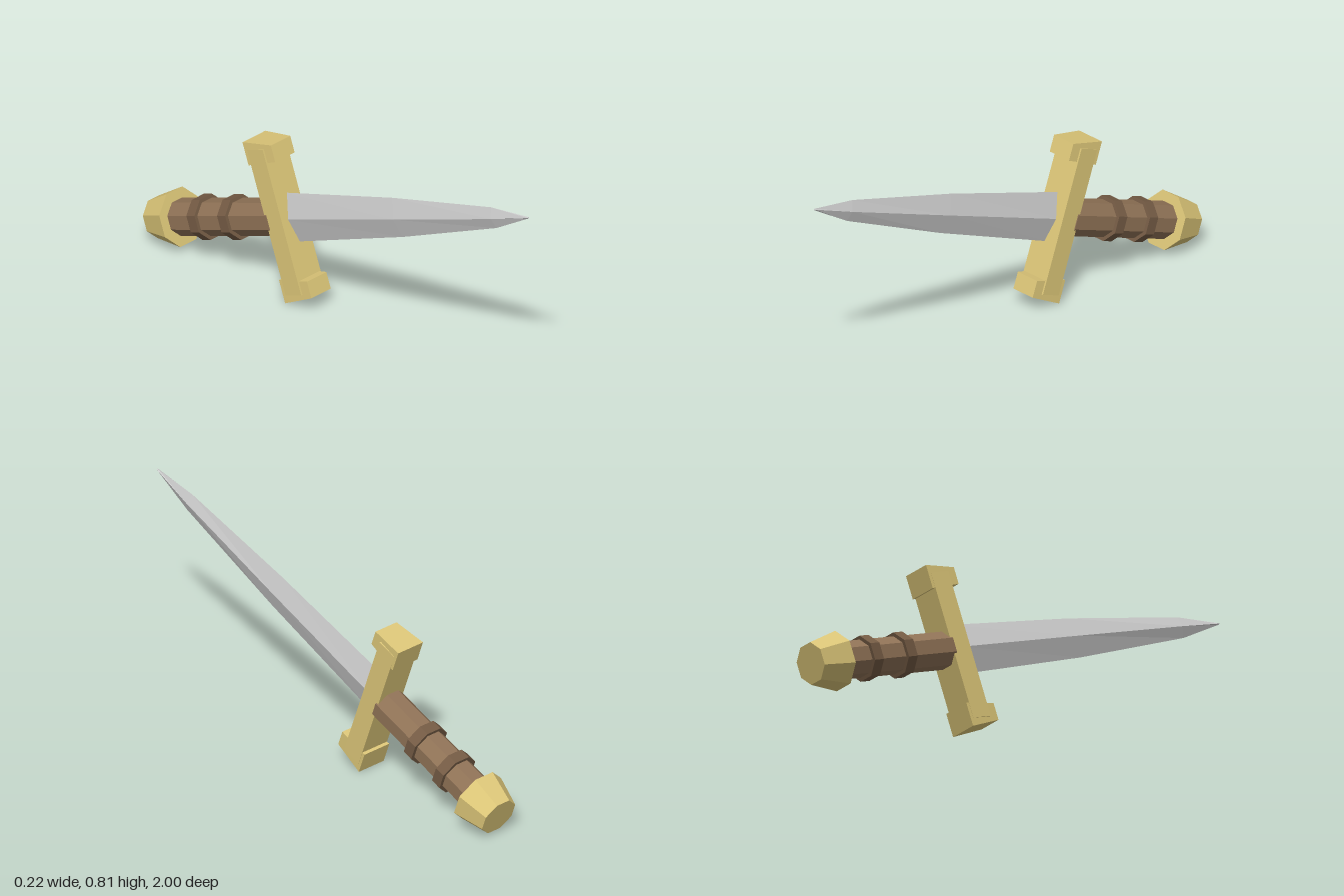
import * as THREE from 'three';

const GOLD = 0xdcc678, BROWN = 0x8f7256, DARK_BROWN = 0x745b44, STEEL = 0xcccccc;

function mesh(name, geometry, color) {
  const material = new THREE.MeshStandardMaterial({ color, flatShading: true });
  const m = new THREE.Mesh(geometry, material);
  m.name = name;
  return m;
}

// Eight-sided frustum along y, sized by the distance from axis to flat
function octagon(name, y0, y1, flat0, flat1, color) {
  const k = 1 / Math.cos(Math.PI / 8);
  const g = new THREE.CylinderGeometry(flat1 * k, flat0 * k, y1 - y0, 8);
  g.rotateY(Math.PI / 8).translate(0, (y0 + y1) / 2, 0);
  return mesh(name, g, color);
}

// Move every vertex of a geometry by a rule
function reshape(geometry, rule) {
  const p = geometry.attributes.position;
  const v = new THREE.Vector3();
  for (let i = 0; i < p.count; i++) {
    rule(v.fromBufferAttribute(p, i));
    p.setXYZ(i, v.x, v.y, v.z);
  }
  geometry.computeVertexNormals();
  return geometry;
}

// Diamond-section blade: [distance along axis, half thickness, half width]
function makeBlade() {
  const rings = [[0.02, 0.03, 0.101], [0.62, 0.026, 0.081], [1.164, 0.017, 0.043], [1.362, 0.004, 0.003]];
  const g = new THREE.CylinderGeometry(1, 1, 1, 4, rings.length - 1);
  reshape(g, (v) => {
    const [y, thick, wide] = rings[Math.round((v.y + 0.5) * (rings.length - 1))];
    v.set(v.x * thick, y, v.z * wide);
  });
  return mesh('blade', g, STEEL);
}

// Guard end block, flaring toward the grip side
function makeGuardEnd(side) {
  const g = reshape(new THREE.BoxGeometry(1, 1, 1), (v) => {
    const gripSide = v.y < 0;
    const outer = v.z * side > 0;
    v.set(
      Math.sign(v.x) * (gripSide ? 0.065 : 0.055),
      gripSide ? -0.075 : 0.07,
      side * (outer ? (gripSide ? 0.333 : 0.316) : (gripSide ? 0.237 : 0.247)));
  });
  return mesh('guardEnd', g, GOLD);
}

export function createModel() {
  const model = new THREE.Group();
  model.name = 'dagger';

  // Built upright along y with the guard at the origin, then tilted forward
  const dagger = new THREE.Group();
  dagger.name = 'tiltedDagger';
  dagger.position.set(0, 0.339, -0.28);
  dagger.rotation.x = THREE.MathUtils.degToRad(70);
  model.add(dagger);

  dagger.add(makeBlade());

  // Cross guard
  const bar = new THREE.BoxGeometry(0.13, 0.089, 0.6);
  bar.translate(0, -0.0165, 0);
  dagger.add(mesh('guardBar', bar, GOLD));
  for (const side of [-1, 1]) dagger.add(makeGuardEnd(side));

  // Grip with two raised bands
  dagger.add(octagon('grip', -0.64, -0.05, 0.069, 0.069, BROWN));
  for (const y of [-0.287, -0.461]) {
    dagger.add(octagon('gripBand', y - 0.023, y + 0.023, 0.083, 0.083, DARK_BROWN));
  }

  // Pommel, narrowing to its flat end
  dagger.add(octagon('pommel', -0.738, -0.608, 0.077, 0.109, GOLD));

  return model;
}
